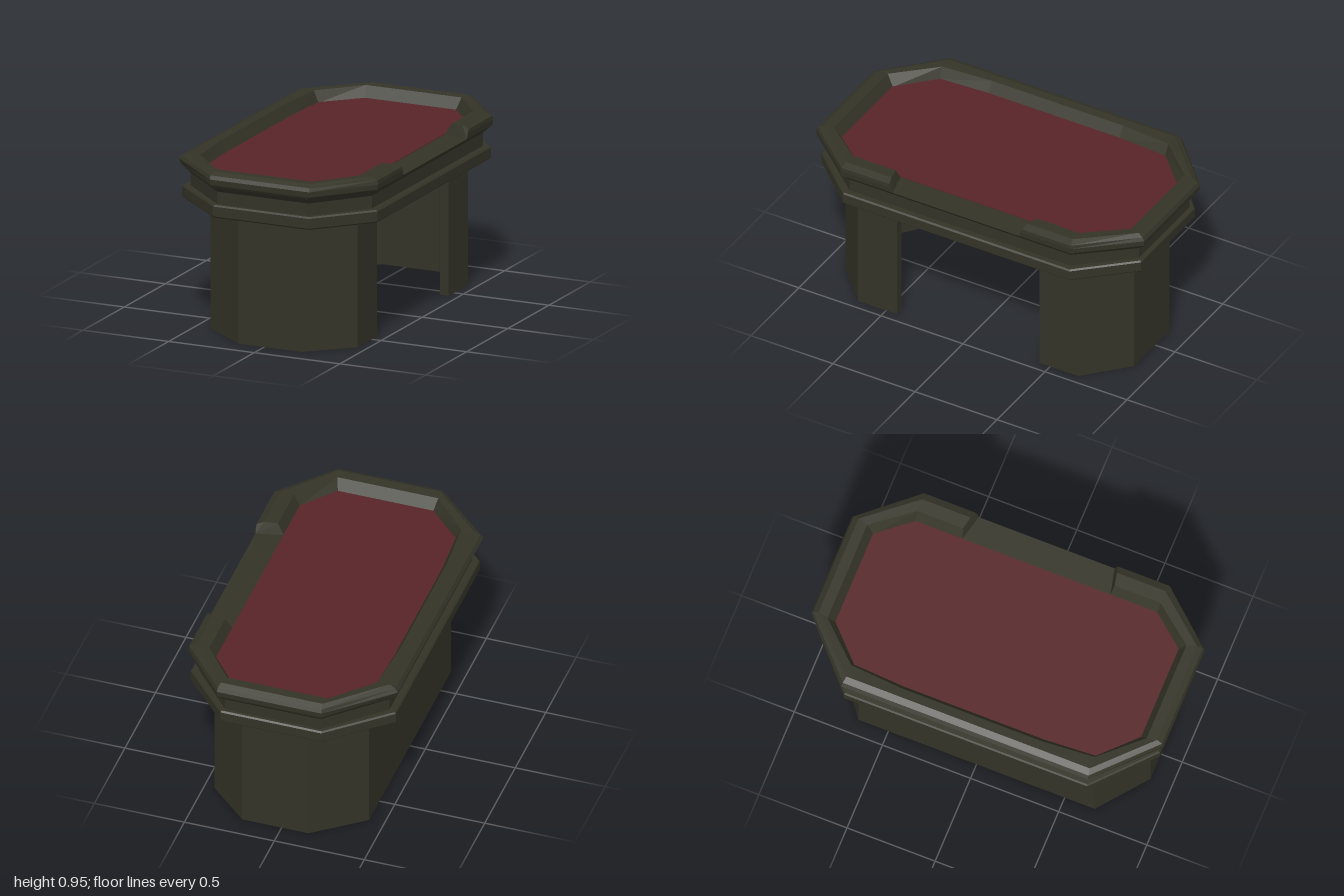
import * as THREE from 'three';

const olive = new THREE.MeshStandardMaterial({ color: 0x343327 });
olive.name = 'dark olive';
const maroon = new THREE.MeshStandardMaterial({ color: 0x572428 });
maroon.name = 'maroon felt';

// Elongated octagon at height y, from the +x gap edge round the front, the -x side and the back.
// bulge pushes the middle of the -x side outward; gap is the half width of the opening at +x.
function ring(y, xl, xr, hz, xa, xb, zc, bulge = 0, gap = 0.4) {
  const half = [[xr, gap], [xr, zc], [xb, hz], [xa, hz], [xl, zc], [xl - bulge, 0.4]];
  const back = half.map(([x, z]) => [x, -z]).reverse();
  return [...half, ...back].map(([x, z]) => [x, y, z]);
}

// Skins a stack of rings; closed rings get top and bottom lids, open ones get end faces.
function loft(rings, closed) {
  const out = [];
  const tri = (...pts) => pts.forEach((p) => out.push(...p));
  const n = rings[0].length;
  for (let r = 0; r < rings.length - 1; r++) {
    const lo = rings[r], up = rings[r + 1];
    for (let i = 0; i < (closed ? n : n - 1); i++) {
      const j = (i + 1) % n;
      tri(lo[j], lo[i], up[i]);
      tri(lo[j], up[i], up[j]);
    }
  }
  const fan = (pts, flip) => {
    for (let k = 1; k < pts.length - 1; k++) {
      if (flip) tri(pts[0], pts[k + 1], pts[k]);
      else tri(pts[0], pts[k], pts[k + 1]);
    }
  };
  if (closed) {
    fan(rings[0], false);
    fan(rings[rings.length - 1], true);
  } else {
    fan(rings.map((r) => r[0]), true);
    fan(rings.map((r) => r[n - 1]), false);
  }
  const g = new THREE.BufferGeometry();
  g.setAttribute('position', new THREE.Float32BufferAttribute(out, 3));
  g.computeVertexNormals();
  return g;
}

export function createModel() {
  const group = new THREE.Group();
  const add = (name, geometry, material = olive) => {
    const mesh = new THREE.Mesh(geometry, material);
    mesh.name = name;
    group.add(mesh);
  };

  // Hollow pedestal wall, open on the +x side
  const outer = [[0.445, 0.435], [0.445, 0.67], [0.22, 0.88], [-0.15, 0.88], [-0.415, 0.67]];
  const inner = [[0.395, 0.435], [0.395, 0.645], [0.2, 0.835], [-0.135, 0.835], [-0.37, 0.645]];
  const mirrored = (pts) => pts.map(([x, z]) => [x, -z]).reverse();
  const plan = [...outer, ...mirrored(outer), ...mirrored(inner).reverse(), ...[...inner].reverse()];
  const wall = new THREE.ExtrudeGeometry(
    new THREE.Shape(plan.map(([x, z]) => new THREE.Vector2(x, z))),
    { depth: 0.7, bevelEnabled: false });
  wall.rotateX(-Math.PI / 2);
  add('pedestalWall', wall);

  // Lower slab with softened edges
  add('lowerSlab', loft([
    ring(0.70, -0.562, 0.562, 0.967, -0.25, 0.305, 0.687),
    ring(0.708, -0.57, 0.57, 0.975, -0.253, 0.308, 0.69),
    ring(0.762, -0.57, 0.57, 0.975, -0.253, 0.308, 0.69),
    ring(0.77, -0.562, 0.562, 0.967, -0.25, 0.305, 0.687),
  ], true));

  // Recessed neck
  add('neck', loft([
    ring(0.77, -0.53, 0.53, 0.95, -0.24, 0.29, 0.675),
    ring(0.84, -0.53, 0.53, 0.95, -0.24, 0.29, 0.675),
  ], true));

  // Flared top, level with the ledge in the rim gap
  add('flaredTop', loft([
    ring(0.84, -0.53, 0.53, 0.955, -0.24, 0.295, 0.675),
    ring(0.873, -0.56, 0.56, 0.99, -0.255, 0.31, 0.69),
    ring(0.885, -0.57, 0.575, 0.997, -0.26, 0.32, 0.7),
  ], true));

  // Raised rim, interrupted on the +x side
  add('raisedRim', loft([
    ring(0.885, -0.57, 0.575, 0.997, -0.26, 0.32, 0.7, 0, 0.385),
    ring(0.915, -0.585, 0.578, 1.0, -0.262, 0.32, 0.7, 0, 0.395),
    ring(0.935, -0.57, 0.575, 0.99, -0.26, 0.318, 0.697, 0, 0.405),
    ring(0.95, -0.535, 0.535, 0.96, -0.255, 0.31, 0.69, 0, 0.415),
    ring(0.947, -0.465, 0.465, 0.905, -0.265, 0.295, 0.69, 0.022, 0.43),
    ring(0.885, -0.435, 0.43, 0.865, -0.25, 0.28, 0.685, 0.017, 0.42),
  ], false));

  // Thin felt sheet inside the rim
  add('feltSurface', loft([
    ring(0.884, -0.437, 0.43, 0.868, -0.25, 0.28, 0.685, 0.017),
    ring(0.888, -0.437, 0.43, 0.868, -0.25, 0.28, 0.685, 0.017),
  ], true), maroon);

  return group;
}
